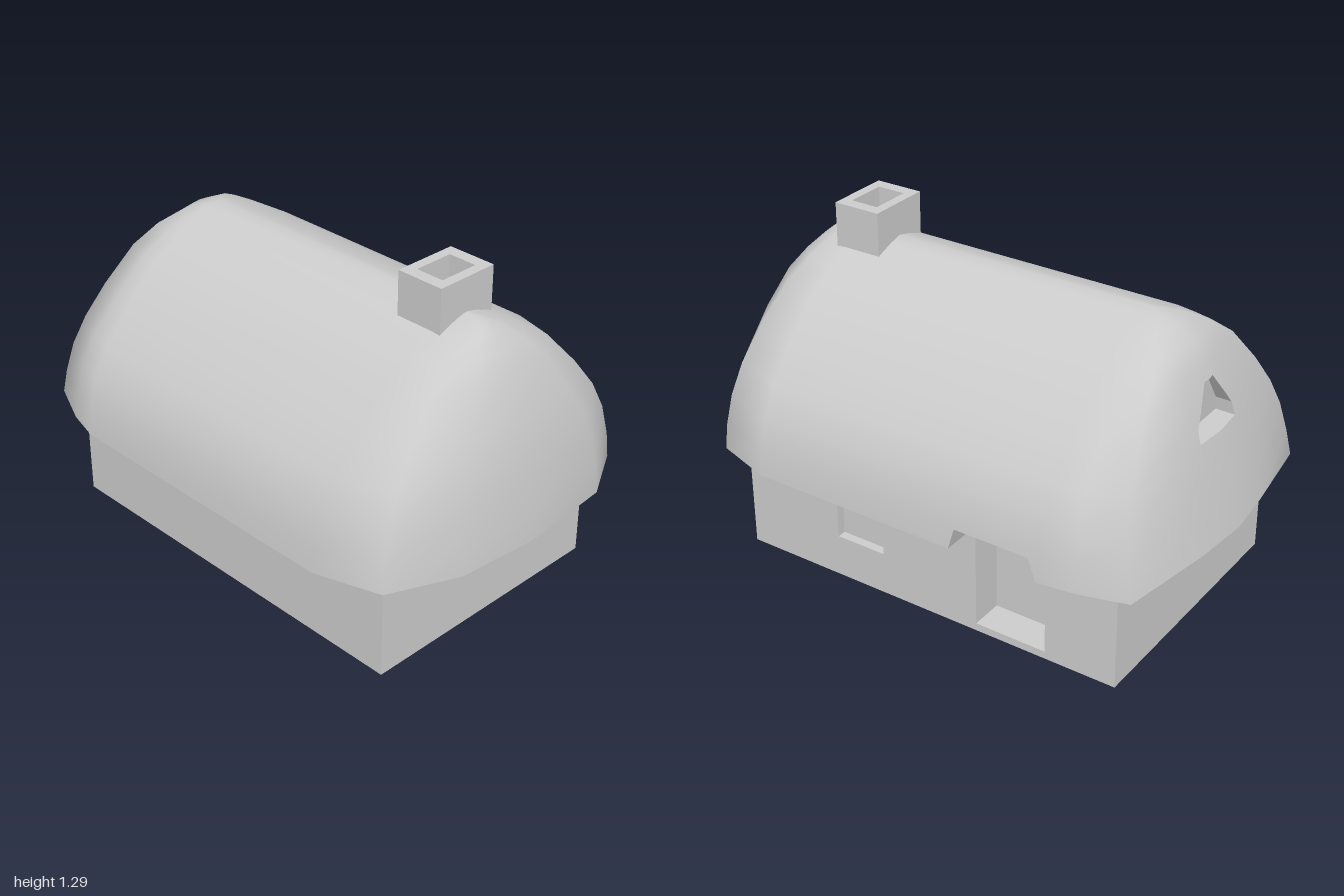
import * as THREE from 'three';
import { mergeVertices } from 'three/addons/utils/BufferGeometryUtils.js';

const material = new THREE.MeshStandardMaterial({ color: 0xcccccc });
const EAVE = 0.42, WALL_BACK = -0.54, DOOR_DEPTH = -0.41;

function add(group, name, geometry, x = 0, y = 0, z = 0) {
  const mesh = new THREE.Mesh(geometry, material);
  mesh.name = name;
  mesh.position.set(x, y, z);
  group.add(mesh);
  return mesh;
}

function polygon(Type, points) {
  return new Type(points.map(([x, y]) => new THREE.Vector2(x, y)));
}

// Signed distances to the sides of a convex prism (positive inside), plus an end limit
function prism(points, u, v, limit) {
  const sides = points.map(([a, b], i) => {
    const [c, d] = points[(i + 1) % points.length];
    const length = Math.hypot(c - a, d - b);
    return (p) => ((c - a) * (p[v] - b) - (d - b) * (p[u] - a)) / length;
  });
  return [...sides, limit];
}

// Geometry from a list of triangle corners { p, n }
function fromCorners(corners, keepNormals) {
  const g = new THREE.BufferGeometry();
  g.setAttribute('position', new THREE.Float32BufferAttribute(corners.flatMap((c) => c.p.toArray()), 3));
  if (keepNormals) g.setAttribute('normal', new THREE.Float32BufferAttribute(corners.flatMap((c) => c.n.toArray()), 3));
  else g.computeVertexNormals();
  return g;
}

// Cuts a prism out of a surface and lines the recess back to axis = depth
function carve(geometry, planes, axis, depth) {
  const flat = geometry.index ? geometry.toNonIndexed() : geometry;
  const pos = flat.attributes.position, nor = flat.attributes.normal;
  const kept = [], lining = [];
  const fan = (poly, out) => {
    for (let i = 1; i + 1 < poly.length; i++) out.push(poly[0], poly[i], poly[i + 1]);
  };
  for (let t = 0; t < pos.count; t += 3) {
    let poly = [0, 1, 2].map((k) => ({
      p: new THREE.Vector3().fromBufferAttribute(pos, t + k),
      n: new THREE.Vector3().fromBufferAttribute(nor, t + k),
    }));
    const whole = poly, pieces = [];
    for (const dist of planes) {
      const inside = [], outside = [];
      poly.forEach((a, i) => {
        const b = poly[(i + 1) % poly.length], da = dist(a.p), db = dist(b.p);
        (da >= 0 ? inside : outside).push(a);
        if (da >= 0 !== db >= 0) {
          const f = da / (da - db);
          const m = { p: a.p.clone().lerp(b.p, f), n: a.n.clone().lerp(b.n, f).normalize() };
          inside.push(m);
          outside.push(m);
        }
      });
      if (outside.length > 2) pieces.push(outside);
      poly = inside;
      if (poly.length < 3) break;
    }
    if (poly.length < 3) { fan(whole, kept); continue; }
    pieces.forEach((piece) => fan(piece, kept));
    const back = poly.map((c) => {
      const p = c.p.clone();
      p[axis] = depth;
      return { p };
    });
    fan(back, lining);
    poly.forEach((a, i) => {
      const j = (i + 1) % poly.length, b = poly[j];
      const onSide = planes.slice(0, -1).some((d) => Math.abs(d(a.p)) < 1e-5 && Math.abs(d(b.p)) < 1e-5);
      if (onSide) fan([a, b, back[j], back[i]], lining);
    });
  }
  return { surface: fromCorners(kept, true), lining: fromCorners(lining, false) };
}

// Eave outline (x, z), running from the left end round the back
const eave = [
  [0.995, 0], [0.965, -0.38], [0.84, -0.6], [0.6, -0.675], [-0.6, -0.675], [-0.74, -0.655], [-0.92, -0.605],
  [-0.98, -0.23], [-1, 0], [-0.98, 0.2], [-0.93, 0.55], [-0.74, 0.635], [-0.6, 0.672],
  [0.6, 0.672], [0.85, 0.59], [0.965, 0.33],
];
// Roof levels: height, half depth, reach of the right end, reach of the left end
const levels = [
  [EAVE, 0.675, 1, 0.995], [0.52, 0.665, 0.975, 0.985], [0.64, 0.635, 0.945, 0.965], [0.75, 0.575, 0.915, 0.945],
  [0.87, 0.475, 0.88, 0.91], [1.01, 0.335, 0.83, 0.855], [1.08, 0.22, 0.785, 0.81],
  [1.13, 0.12, 0.72, 0.765], [1.155, 0.05, 0.66, 0.73], [1.167, 0, 0.6, 0.62],
];

function roofShell() {
  const points = [], index = [], n = eave.length;
  levels.forEach(([y, w, right, left], k) => {
    eave.forEach(([x, z], i) => {
      const reach = x < 0 ? right : left;
      const t = Math.max(0, Math.abs(x) - 0.6) / 0.4;
      points.push(Math.sign(x) * (0.6 + t * (reach - 0.6)), y, (z * w) / 0.675);
      if (k === levels.length - 1) return;
      const a = k * n + i, b = k * n + ((i + 1) % n);
      index.push(a, b, b + n, a, b + n, a + n);
    });
  });
  const g = new THREE.BufferGeometry();
  g.setAttribute('position', new THREE.Float32BufferAttribute(points, 3));
  g.setIndex(index);
  const welded = mergeVertices(g, 1e-4);
  welded.computeVertexNormals();
  return welded;
}

function buildRoof() {
  const roof = new THREE.Group();
  roof.name = 'roof';
  const doorNotch = prism([[-0.605, 0.4], [-0.235, 0.4], [-0.26, 0.5], [-0.56, 0.5]], 'x', 'y',
    (p) => DOOR_DEPTH - p.z);
  const gableNiche = prism(
    [[-0.13, 0.78], [0.12, 0.78], [0.115, 0.83], [0.03, 0.96], [-0.03, 0.96], [-0.125, 0.83]], 'z', 'y',
    (p) => -0.5 - p.x);
  const notched = carve(roofShell(), doorNotch, 'z', DOOR_DEPTH);
  const niched = carve(notched.surface, gableNiche, 'x', -0.82);
  add(roof, 'thatch', niched.surface);
  add(roof, 'doorNotch', notched.lining);
  add(roof, 'gableWindow', niched.lining);

  // Flat underside, open above the doorway
  const corners = eave.flatMap(([x, z], i) => {
    const [x2, z2] = eave[(i + 1) % eave.length];
    return [[0, 0], [x2, z2], [x, z]].map(([a, b]) => ({ p: new THREE.Vector3(a, EAVE, b) }));
  });
  add(roof, 'eaveUnderside', carve(fromCorners(corners, false), doorNotch, 'z', DOOR_DEPTH).surface);
  return roof;
}

function buildWalls() {
  const walls = new THREE.Group();
  walls.name = 'walls';
  const x0 = -0.835, x1 = 0.775, front = 0.515, windowDepth = -0.505;
  // Solid body, then two back layers holding the doorway and the window
  add(walls, 'body', new THREE.BoxGeometry(x1 - x0, EAVE, front - DOOR_DEPTH),
    (x0 + x1) / 2, EAVE / 2, (front + DOOR_DEPTH) / 2);
  const layer = (name, z0, z1, hole) => {
    const shape = polygon(THREE.Shape, [[x0, 0], [x1, 0], [x1, EAVE], [-0.26, EAVE],
      [-0.26, 0.03], [-0.55, 0.03], [-0.55, EAVE], [x0, EAVE]]);
    if (hole) shape.holes.push(polygon(THREE.Path, hole));
    add(walls, name, new THREE.ExtrudeGeometry(shape, { depth: z1 - z0, bevelEnabled: false }), 0, 0, z0);
  };
  layer('doorwayWall', windowDepth, DOOR_DEPTH);
  layer('windowWall', WALL_BACK, windowDepth, [[0.15, 0.17], [0.15, 0.365], [0.36, 0.365], [0.36, 0.17]]);
  return walls;
}

function buildChimney() {
  const chimney = new THREE.Group();
  chimney.name = 'chimney';
  const rect = (Type, w, d) => polygon(Type, [[-w, -d], [w, -d], [w, d], [-w, d]]);
  const shape = rect(THREE.Shape, 0.096, 0.128);
  shape.holes.push(rect(THREE.Path, 0.057, 0.08));
  const stack = new THREE.ExtrudeGeometry(shape, { depth: 0.235, bevelEnabled: false }).rotateX(-Math.PI / 2);
  add(chimney, 'chimneyStack', stack, 0.546, 1.06, 0);
  add(chimney, 'flueFloor', new THREE.BoxGeometry(0.12, 0.12, 0.165), 0.546, 1.13, 0);
  return chimney;
}

export function createModel() {
  const cottage = new THREE.Group();
  cottage.name = 'cottage';
  cottage.add(buildWalls(), buildRoof(), buildChimney());
  return cottage;
}
